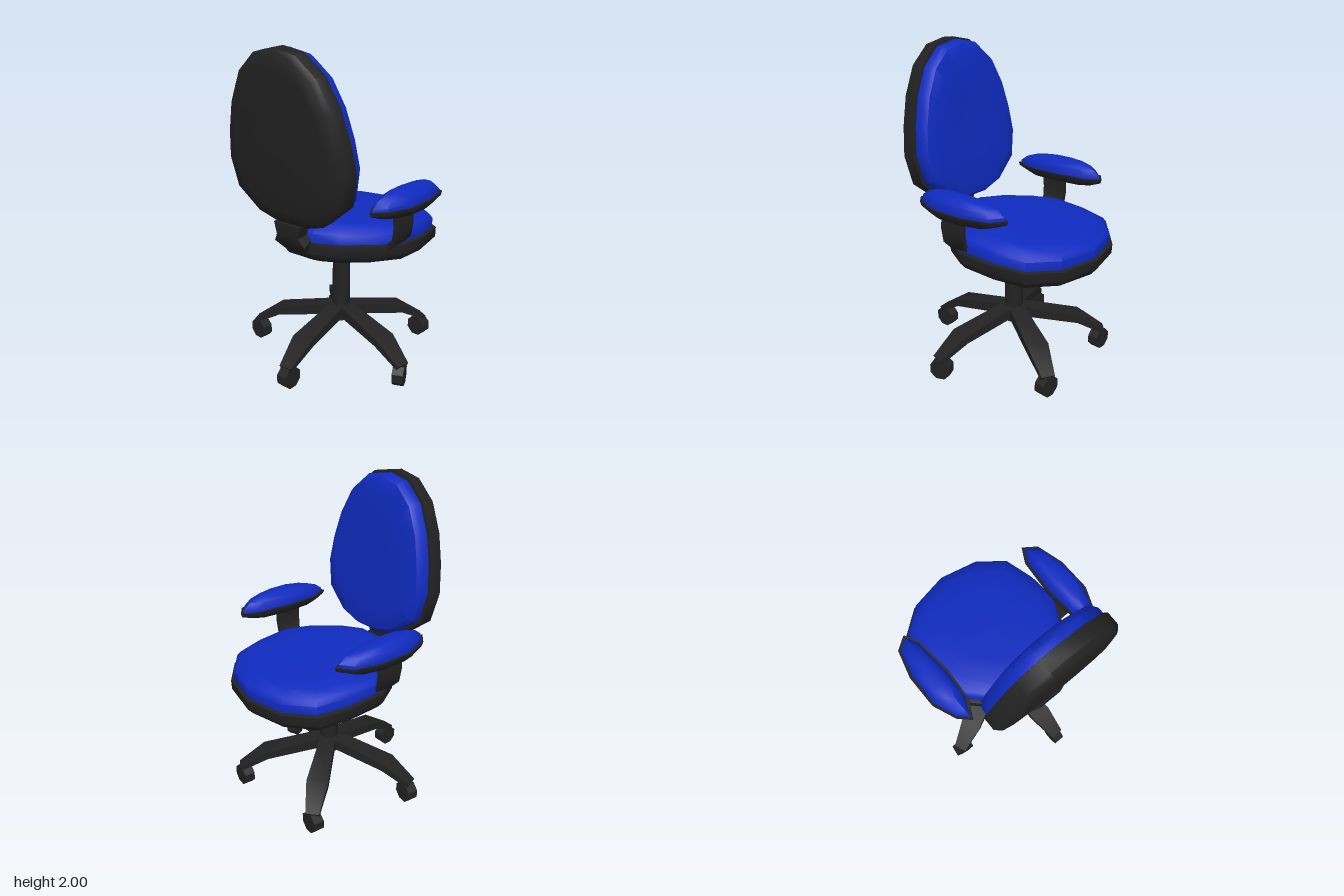
import * as THREE from 'three';
import { toCreasedNormals } from 'three/addons/utils/BufferGeometryUtils.js';

const black = new THREE.MeshStandardMaterial({ color: 0x222222 });
const blue = new THREE.MeshStandardMaterial({ color: 0x0f2bc0 });
const CX = -0.012; // the chair's own centre line

// Closed solid through rings of equal point count, capped at both ends
function loft(rings, crease = 0.75) {
  const n = rings[0].length, pos = rings.flat(2), idx = [];
  const at = (i, j) => i * n + (j % n);
  for (let i = 0; i < rings.length - 1; i++)
    for (let j = 0; j < n; j++)
      idx.push(at(i, j), at(i, j + 1), at(i + 1, j + 1), at(i, j), at(i + 1, j + 1), at(i + 1, j));
  const cap = (i, flip) => {
    const c = pos.length / 3;
    for (let k = 0; k < 3; k++) pos.push(rings[i].reduce((s, p) => s + p[k], 0) / n);
    for (let j = 0; j < n; j++) idx.push(c, at(i, flip ? j + 1 : j), at(i, flip ? j : j + 1));
  };
  cap(0, true);
  cap(rings.length - 1, false);
  // Turn all faces outward if the solid came out inverted
  const v = (i) => new THREE.Vector3().fromArray(pos, i * 3);
  let volume = 0;
  for (let i = 0; i < idx.length; i += 3) volume += v(idx[i]).dot(v(idx[i + 1]).cross(v(idx[i + 2])));
  if (volume < 0) idx.reverse();
  const g = new THREE.BufferGeometry();
  g.setAttribute('position', new THREE.Float32BufferAttribute(pos, 3));
  g.setIndex(idx);
  return toCreasedNormals(g, crease);
}

// Outline [x, y] stacked in levels [scaleX, scaleY, height] about a centre
function pad(outline, [cx, cy], levels) {
  return loft(levels.map(([sx, sy, h]) =>
    outline.map(([x, y]) => [cx + (x - cx) * sx, cy + (y - cy) * sy, h])));
}

// Half outline (first point on the axis) to full loop
const mirrored = (half) => [...half, ...half.slice(1).reverse().map(([x, y]) => [-x, y])];

// Flat band following a path of [a, b, halfWidth, halfThickness]
function band(path, place) {
  return loft(path.map(([a, b, w, t], i) => {
    const p = path[Math.max(i - 1, 0)], q = path[Math.min(i + 1, path.length - 1)];
    const l = Math.hypot(q[0] - p[0], q[1] - p[1]);
    const na = -(q[1] - p[1]) / l * t, nb = (q[0] - p[0]) / l * t;
    return [[-w, 1], [w, 1], [w, -1], [-w, -1]].map(([u, s]) => place(a + na * s, b + nb * s, u));
  }));
}

function add(parent, name, geometry, material = black) {
  const m = new THREE.Mesh(geometry, material);
  m.name = name;
  parent.add(m);
  return m;
}

function sub(parent, name, x = 0, y = 0, z = 0) {
  const g = new THREE.Group();
  g.name = name;
  g.position.set(x, y, z);
  parent.add(g);
  return g;
}

export function createModel() {
  const chair = new THREE.Group();
  chair.name = 'officeChair';

  // Seat: shell below, cushion above, tilted down toward the knees
  const seat = sub(chair, 'seat', CX, 0.875, 0.42);
  seat.rotation.x = -Math.PI / 2 - 0.062;
  const seatLine = mirrored([[0, 1.04], [0.26, 0.985], [0.43, 0.85], [0.48, 0.65],
    [0.49, 0.42], [0.41, 0.27], [0.25, 0.1], [0.1, 0.015]]);
  add(seat, 'seatShell', pad(seatLine, [0, 0.52],
    [[0.96, 0.96, 0.005], [1, 1, 0], [1, 1, -0.06], [0.93, 0.94, -0.1], [0.72, 0.75, -0.14], [0.4, 0.4, -0.15]]));
  add(seat, 'seatCushion', pad(seatLine, [0, 0.52],
    [[0.95, 0.96, 0], [0.95, 0.96, 0.06], [0.91, 0.92, 0.085], [0.76, 0.78, 0.113], [0.45, 0.45, 0.12]]), blue);

  // Backrest: leaning egg with shell behind and cushion in front
  const back = sub(chair, 'backrest', CX, 0.992, 0.37);
  back.rotation.x = 0.115;
  const backLine = mirrored([[0, 1.015], [0.15, 0.985], [0.28, 0.875], [0.365, 0.71],
    [0.415, 0.53], [0.44, 0.355], [0.4, 0.17], [0.24, 0.04], [0.1, 0]]);
  add(back, 'backShell', pad(backLine, [0, 0.48],
    [[0.96, 0.96, -0.003], [1, 1, 0], [1, 1, 0.08], [0.94, 0.95, 0.108], [0.78, 0.8, 0.122], [0.45, 0.45, 0.125]]));
  add(back, 'backCushion', pad(backLine, [0, 0.48],
    [[0.95, 0.965, 0], [0.95, 0.965, -0.05], [0.9, 0.92, -0.082], [0.74, 0.76, -0.098], [0.4, 0.4, -0.094]]), blue);

  // Curved bracket joining seat and backrest
  add(chair, 'backBracket', band(
    [[0.34, 0.83, 0.09, 0.025], [0.41, 0.845, 0.09, 0.03], [0.445, 0.89, 0.115, 0.035],
      [0.455, 0.93, 0.08, 0.04], [0.455, 1.0, 0.1, 0.04]],
    (z, y, x) => [CX + x, y, z]));

  // Armrests
  for (const s of [1, -1]) {
    const arm = sub(chair, s > 0 ? 'leftArmrest' : 'rightArmrest', CX, 0, 0);
    const line = [[0.465, 0.34], [0.55, 0.28], [0.597, 0.1], [0.597, -0.12], [0.535, -0.27],
      [0.465, -0.335], [0.405, -0.22], [0.39, 0], [0.415, 0.25]].map(([x, y]) => [s * x, y]);
    const top = sub(arm, 'armTop', 0, 1.115, 0);
    top.rotation.x = -Math.PI / 2;
    add(top, 'armShell', pad(line, [s * 0.493, 0],
      [[0.9, 0.94, 0.006], [1, 1, 0.008], [0.97, 0.97, -0.015], [0.7, 0.72, -0.048], [0.4, 0.4, -0.058]]));
    add(top, 'armCushion', pad(line, [s * 0.493, 0],
      [[0.84, 0.93, 0], [0.84, 0.93, 0.025], [0.74, 0.78, 0.062], [0.5, 0.55, 0.088], [0.25, 0.25, 0.094]]), blue);
    add(arm, 'armSupport', band(
      [[0.49, 1.08, 0.085, 0.012], [0.497, 0.98, 0.085, 0.012], [0.485, 0.9, 0.08, 0.014], [0.42, 0.835, 0.065, 0.016]],
      (x, y, z) => [s * x, y, z + 0.045]));
  }

  // Gas column and hub
  const column = add(chair, 'column', toCreasedNormals(new THREE.CylinderGeometry(0.055, 0.06, 0.52, 10), 0.8));
  column.position.set(CX, 0.49, 0);
  const hub = add(chair, 'hub', toCreasedNormals(new THREE.CylinderGeometry(0.06, 0.075, 0.1, 10), 0.8));
  hub.position.set(CX, 0.28, 0);

  // Five bent legs, each with a swivelled caster
  const swivel = [0, 0.4, 1.5, 1.5, 1.45];
  const legGeometry = band(
    [[0.01, 0.295, 0.05, 0.04], [0.1, 0.285, 0.052, 0.034], [0.42, 0.232, 0.068, 0.024], [0.59, 0.128, 0.042, 0.014]],
    (r, y, u) => [u, y, r]);
  const wheelGeometry = toCreasedNormals(new THREE.CylinderGeometry(0.069, 0.069, 0.068, 8), 0.5);
  wheelGeometry.rotateY(Math.PI / 8).rotateZ(Math.PI / 2);
  swivel.forEach((turn, k) => {
    const angle = THREE.MathUtils.degToRad(5 + 72 * k);
    const leg = sub(chair, 'leg' + (k + 1), CX, 0, 0);
    leg.rotation.y = angle;
    add(leg, 'legBar', legGeometry);
    const caster = sub(leg, 'caster', 0, 0.066, 0.565);
    caster.rotation.y = turn - angle;
    add(caster, 'wheel', wheelGeometry);
    add(caster, 'casterStem', new THREE.CylinderGeometry(0.02, 0.02, 0.08, 8)).position.y = 0.04;
  });

  return chair;
}
